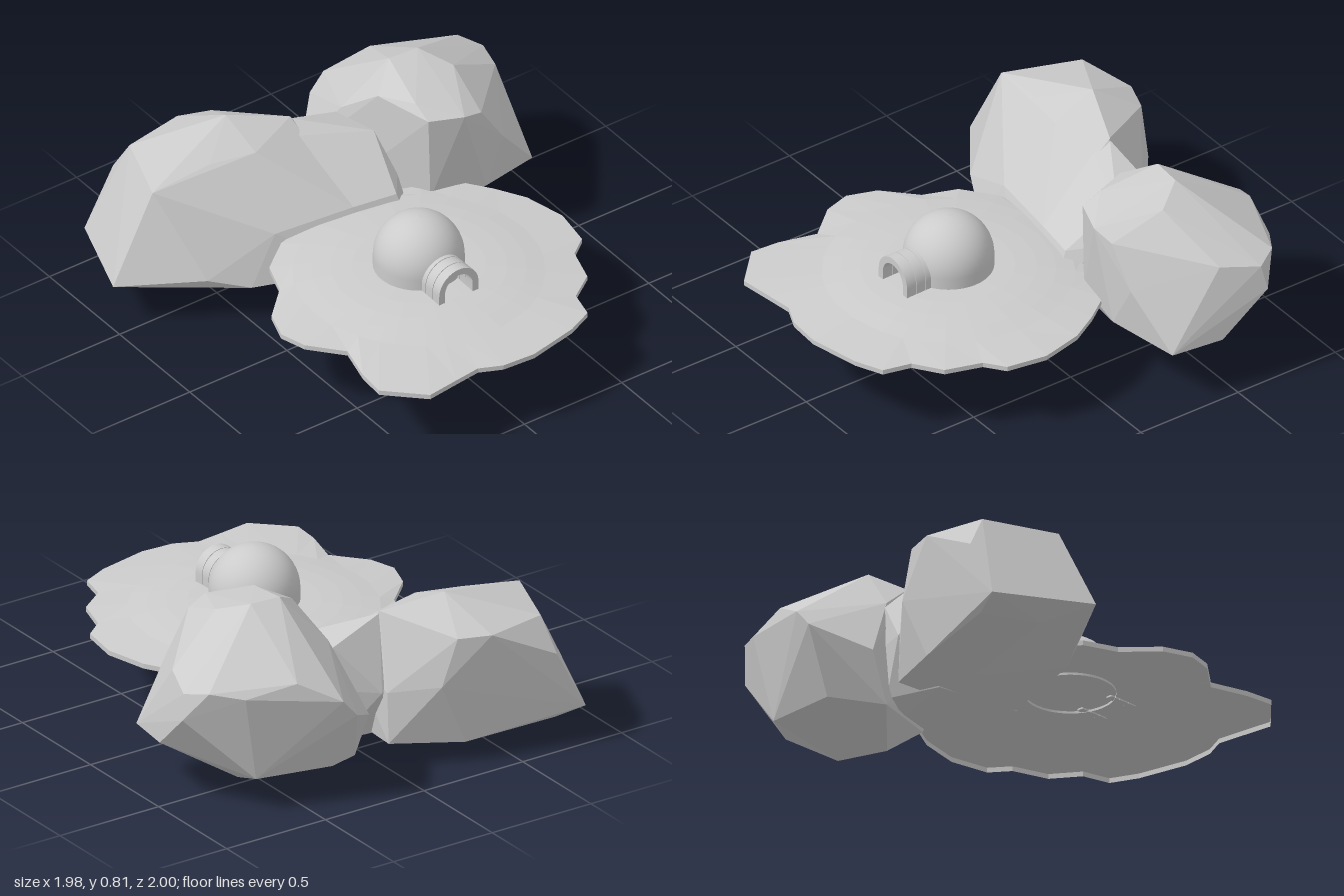
import * as THREE from 'three';
import { ConvexGeometry } from 'three/addons/geometries/ConvexGeometry.js';
import { toCreasedNormals } from 'three/addons/utils/BufferGeometryUtils.js';

const CX = -0.01, CZ = 0.26; // centre of the dome and the ice sheet

const smooth = new THREE.MeshStandardMaterial({ color: 0xcccccc, side: THREE.DoubleSide });
const faceted = new THREE.MeshStandardMaterial({ color: 0xcccccc, flatShading: true });
const facetedThin = new THREE.MeshStandardMaterial({ color: 0xcccccc, flatShading: true, side: THREE.DoubleSide });

function add(parent, name, geometry, material) {
  const mesh = new THREE.Mesh(geometry, material);
  mesh.name = name;
  parent.add(mesh);
  return mesh;
}

// Faceted boulder spanned by its corner points
function boulder(corners) {
  return new ConvexGeometry(corners.map((c) => new THREE.Vector3(...c)));
}

// Thin ice sheet: round terraces inside, ragged rim outside, short skirt below
function iceSheet() {
  const rim = [
    [0.05, 1.0], [0.28, 0.95], [0.4, 0.895], [0.43, 0.77], [0.55, 0.685], [0.6, 0.525], [0.685, 0.46],
    [0.715, 0.28], [0.67, 0.09], [0.595, -0.04], [0.5, -0.17], [0.36, -0.24], [0.2, -0.29], [0.02, -0.32],
    [-0.18, -0.3], [-0.35, -0.25], [-0.49, -0.14], [-0.545, 0.01], [-0.68, 0.14], [-0.725, 0.27],
    [-0.69, 0.39], [-0.57, 0.53], [-0.615, 0.7], [-0.625, 0.83], [-0.47, 0.98], [-0.32, 0.96],
    [-0.2, 0.945], [-0.1, 0.99],
  ];
  const terraces = [[0, 0.402], [0.2, 0.4], [0.28, 0.398], [0.37, 0.391], [0.45, 0.38], [0.53, 0.366]];
  const n = rim.length, pos = [], index = [];
  for (const [r, y] of terraces) {
    for (const [x, z] of rim) {
      const a = Math.atan2(z - CZ, x - CX);
      pos.push(CX + r * Math.cos(a), y, CZ + r * Math.sin(a));
    }
  }
  for (const y of [0.347, 0.325])
    for (const [x, z] of rim) pos.push(x, y, z);
  for (let k = 0; k <= terraces.length; k++) {
    for (let i = 0; i < n; i++) {
      const a = k * n + i, b = k * n + ((i + 1) % n);
      index.push(a, a + n, b + n);
      if (k > 0) index.push(a, b + n, b);
    }
  }
  const g = new THREE.BufferGeometry();
  g.setAttribute('position', new THREE.Float32BufferAttribute(pos, 3));
  g.setIndex(index);
  g.computeVertexNormals();
  return g;
}

// Round house: short upright wall, then a half sphere
function domeGeometry() {
  const R = 0.192, profile = [new THREE.Vector2(R, 0.39)];
  for (let i = 0; i <= 12; i++) {
    const t = (i / 12) * Math.PI / 2;
    profile.push(new THREE.Vector2(R * Math.cos(t), 0.452 + R * Math.sin(t)));
  }
  return new THREE.LatheGeometry(profile, 40);
}

// Arched entrance with an open passage
function archGeometry(outer, inner, depth) {
  const s = new THREE.Shape();
  const base = -0.045;
  s.moveTo(outer, base);
  s.lineTo(outer, 0);
  s.absarc(0, 0, outer, 0, Math.PI, false);
  s.lineTo(-outer, base);
  s.lineTo(-inner, base);
  s.lineTo(-inner, 0);
  s.absarc(0, 0, inner, Math.PI, 0, true);
  s.lineTo(inner, base);
  s.closePath();
  const g = new THREE.ExtrudeGeometry(s, { depth, bevelEnabled: false, curveSegments: 12 });
  return toCreasedNormals(g, 0.6);
}

export function createModel() {
  const model = new THREE.Group();
  model.name = 'iceHouseWithBoulders';

  add(model, 'iceSheet', iceSheet(), facetedThin);

  const house = new THREE.Group();
  house.name = 'iceHouse';
  model.add(house);
  add(house, 'dome', domeGeometry(), smooth).position.set(CX, 0, CZ);

  // Entrance: three courses of blocks with shallow joints between them
  const entrance = new THREE.Group();
  entrance.name = 'entrance';
  entrance.position.set(CX, 0.438, 0);
  house.add(entrance);
  add(entrance, 'entranceCore', archGeometry(0.098, 0.073, 0.135), smooth).position.z = 0.4;
  for (let i = 0; i < 3; i++)
    add(entrance, 'entranceCourse', archGeometry(0.101, 0.071, 0.046), smooth).position.z = 0.402 + i * 0.049;

  // Long boulder behind the right side: a high main block and a lower lobe towards the middle
  const longBoulder = new THREE.Group();
  longBoulder.name = 'longBoulder';
  model.add(longBoulder);
  add(longBoulder, 'mainBlock', boulder([
    [-0.99, 0.21, -0.56], [-0.82, 0.18, -1.0], [-0.78, 0.6, -0.57], [-0.66, 0.6, -0.9], [-0.68, 0.45, -0.99],
    [-0.52, 0.63, -0.84], [-0.31, 0.725, -0.7], [-0.38, 0.6, -0.95], [-0.24, 0.6, -0.9], [-0.17, 0.39, -0.885],
    [-0.2, 0.68, -0.66], [-0.05, 0.665, -0.6], [-0.3, 0.645, -0.5], [-0.5, 0.64, -0.55], [0, 0.35, -0.73],
    [0.05, 0.5, -0.5], [0, 0.4, -0.22], [-0.73, 0.19, -0.4], [-0.67, 0.24, -0.33], [-0.5, 0.18, -0.25],
    [-0.36, 0.38, -0.28], [0, 0.145, -0.12], [-0.8, 0.14, -0.7], [-0.3, 0.095, -0.6], [0, 0.12, -0.74],
    [-0.3, 0.1, -0.87], [-0.7, 0.14, -0.95],
  ]), faceted);
  add(longBoulder, 'lowerLobe', boulder([
    [-0.23, 0.64, -0.58], [-0.05, 0.655, -0.6], [0.2, 0.57, -0.62], [0.25, 0.57, -0.42], [0.21, 0.38, -0.63],
    [0.02, 0.35, -0.72], [0.2, 0.4, -0.19], [0, 0.4, -0.22], [-0.12, 0.4, -0.25], [0.27, 0.42, -0.28],
    [-0.1, 0.15, -0.14], [0.25, 0.17, -0.09], [0.31, 0.15, -0.25], [0.2, 0.11, -0.5], [0.18, 0.14, -0.63],
    [-0.1, 0.11, -0.6],
  ]), faceted);

  // Tall boulder behind the left side
  add(model, 'tallBoulder', boulder([
    [0.4, 0.82, -0.52], [0.54, 0.82, -0.51], [0.63, 0.77, -0.38], [0.35, 0.76, -0.26], [0.35, 0.72, -0.17],
    [0.5, 0.71, -0.12], [0.6, 0.68, -0.14], [0.27, 0.74, -0.42], [0.21, 0.6, -0.6], [0.28, 0.42, -0.35],
    [0.91, 0.59, -0.74], [0.97, 0.57, -0.64], [0.99, 0.46, -0.66], [0.96, 0.27, -0.45], [0.92, 0.26, -0.22],
    [0.91, 0.6, -0.47], [0.72, 0.5, -0.15], [0.31, 0.42, -0.96], [0.38, 0.5, -0.96], [0.56, 0.6, -0.88],
    [0.78, 0.56, -0.82], [0.34, 0.005, -0.47], [0.6, 0.035, -0.5], [0.13, 0.08, -0.68], [0.12, 0.3, -0.77],
    [0.34, 0.14, -0.82], [0.36, 0.32, -0.17], [0.62, 0.3, -0.13], [0.34, 0.16, -0.26], [0.7, 0.16, -0.78],
  ]), faceted);

  return model;
}
